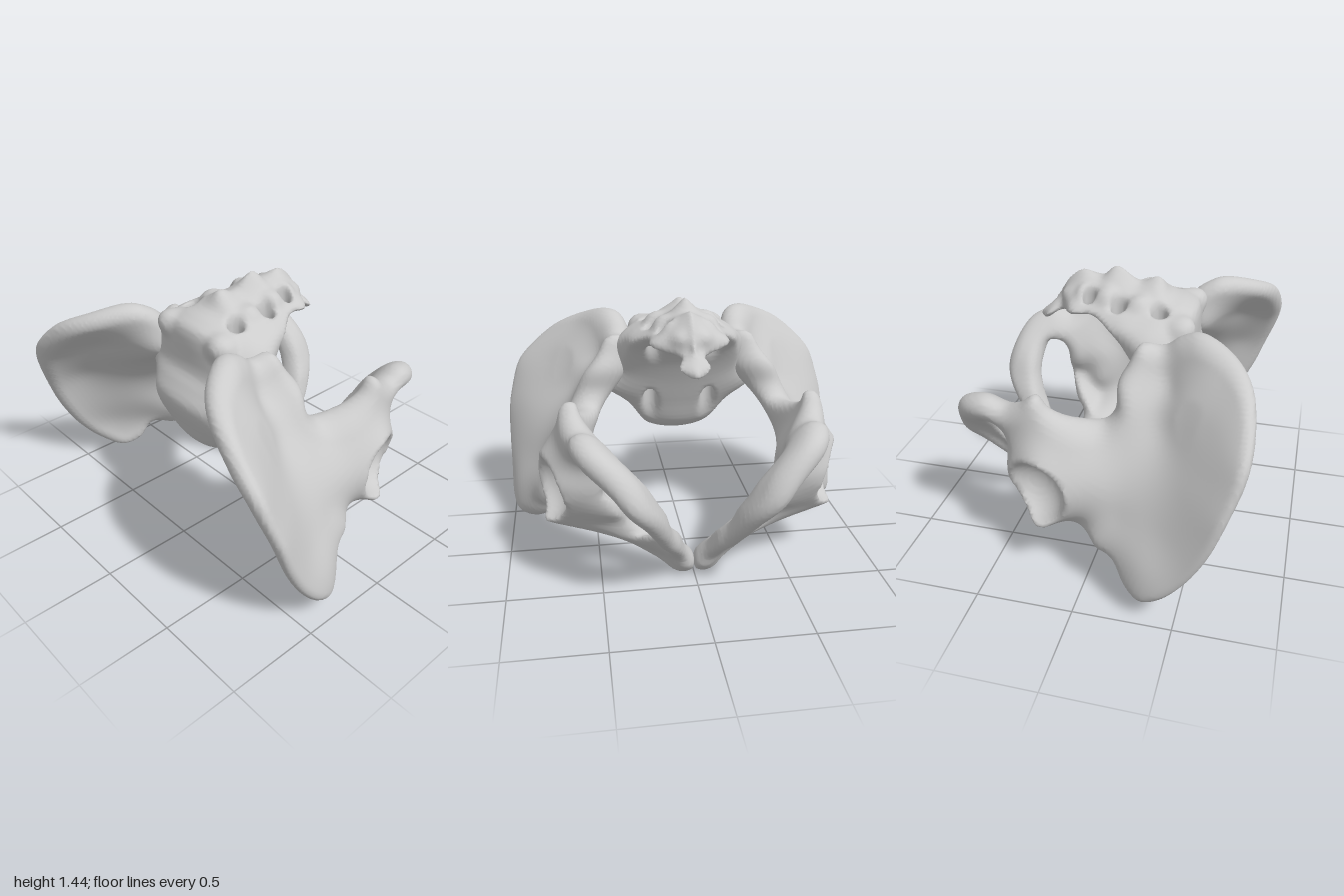
import * as THREE from 'three';

// Smooth interpolation of scattered rows [z, y, values...]
function scattered(rows) {
  const phi = (z, y, r) => Math.sqrt((z - r[0]) ** 2 + (y - r[1]) ** 2 + 0.006);
  const n = rows.length, m = rows[0].length - 2;
  const mean = Array.from({ length: m }, (_, k) => rows.reduce((s, r) => s + r[k + 2], 0) / n);
  const A = rows.map(r => [...rows.map(q => phi(r[0], r[1], q)), ...mean.map((a, k) => r[k + 2] - a)]);
  for (let c = 0; c < n; c++) {
    let p = c;
    for (let r = c + 1; r < n; r++) if (Math.abs(A[r][c]) > Math.abs(A[p][c])) p = r;
    [A[c], A[p]] = [A[p], A[c]];
    for (let r = 0; r < n; r++) {
      if (r === c) continue;
      const f = A[r][c] / A[c][c];
      for (let k = c; k < n + m; k++) A[r][k] -= f * A[c][k];
    }
  }
  return (z, y) => mean.map((a, k) =>
    rows.reduce((s, q, i) => s + phi(z, y, q) * A[i][n + k] / A[i][i], a));
}

// Signed distance to smooth closed loops in the (z, y) plane, negative inside
function outline(...loops) {
  const curves = loops.map(l => new THREE.CatmullRomCurve3(
    l.map(([z, y]) => new THREE.Vector3(z, y, 0)), true).getPoints(l.length * 5));
  return (z, y) => {
    let best = 9, inside = false;
    for (const c of curves) for (let i = 0; i < c.length - 1; i++) {
      const a = c[i], b = c[i + 1], dx = b.x - a.x, dy = b.y - a.y;
      const t = THREE.MathUtils.clamp(
        ((z - a.x) * dx + (y - a.y) * dy) / (dx * dx + dy * dy + 1e-12), 0, 1);
      best = Math.min(best, Math.hypot(z - a.x - t * dx, y - a.y - t * dy));
      if ((a.y > y) !== (b.y > y) && z < a.x + (y - a.y) / dy * dx) inside = !inside;
    }
    return inside ? -best : best;
  };
}

// Rounded sheet: d is distance to the rim, u is offset from the middle surface
const rounded = (d, w, u, t) =>
  (Math.hypot(Math.max(0, d + w) / w, u / t) - 1) * Math.min(t, w);

const smoothMin = (a, b, k) => {
  const h = Math.max(k - Math.abs(a - b), 0) / k;
  return Math.min(a, b) - h * h * k / 4;
};
const carve = (a, b, k) => -smoothMin(-a, b, k);

// Skin a solid with quads; column(y, z) returns a function of x, negative inside
function skin(min, max, h, column) {
  const n = min.map((a, i) => Math.ceil((max[i] - a) / h) + 1);
  const step = [1, n[0], n[0] * n[1]];
  const val = new Float32Array(n[0] * n[1] * n[2]);
  for (let k = 0; k < n[2]; k++) for (let j = 0; j < n[1]; j++) {
    const f = column(min[1] + j * h, min[2] + k * h);
    for (let i = 0; i < n[0]; i++) val[i + j * step[1] + k * step[2]] = f(min[0] + i * h);
  }
  const id = new Int32Array(val.length).fill(-1), pos = [], index = [];
  const corner = c => (c & 1) * step[0] + (c >> 1 & 1) * step[1] + (c >> 2) * step[2];
  for (let k = 0; k < n[2] - 1; k++) for (let j = 0; j < n[1] - 1; j++) for (let i = 0; i < n[0] - 1; i++) {
    const o = i + j * step[1] + k * step[2], s = [0, 0, 0];
    let count = 0;
    for (let a = 0; a < 8; a++) for (let d = 0; d < 3; d++) {
      if (a >> d & 1) continue;
      const va = val[o + corner(a)], vb = val[o + corner(a | 1 << d)];
      if ((va < 0) === (vb < 0)) continue;
      for (let e = 0; e < 3; e++) s[e] += (a >> e & 1) + (e === d ? va / (va - vb) : 0);
      count++;
    }
    if (!count) continue;
    id[o] = pos.length / 3;
    [i, j, k].forEach((g, e) => pos.push(min[e] + (g + s[e] / count) * h));
  }
  for (let k = 1; k < n[2] - 1; k++) for (let j = 1; j < n[1] - 1; j++) for (let i = 1; i < n[0] - 1; i++) {
    const o = i + j * step[1] + k * step[2];
    for (let d = 0; d < 3; d++) {
      const inside = val[o] < 0;
      if (inside === (val[o + step[d]] < 0)) continue;
      const u = step[(d + 1) % 3], v = step[(d + 2) % 3];
      const [a, b, c, e] = [id[o], id[o - u], id[o - u - v], id[o - v]];
      if (inside) index.push(a, b, c, a, c, e);
      else index.push(a, c, b, a, e, c);
    }
  }
  const g = new THREE.BufferGeometry();
  g.setAttribute('position', new THREE.Float32BufferAttribute(pos, 3));
  g.setIndex(index);
  g.computeVertexNormals();
  return g;
}

// Hip bone: side outline, opening, and rows of [z, y, middle x, half thickness]
function hipGeometry() {
  const edge = [[.8, 1], [.76, 1.15], [.65, 1.235], [.48, 1.28], [.38, 1.24], [.3, 1.18], [.19, 1.19],
    [.14, 1.1], [.1, 1.02], [.1, .9], [.05, .84], [-.1, .86], [-.2, .91], [-.27, .985], [-.36, .92],
    [-.45, .885], [-.56, .915], [-.7, .86], [-.775, .73], [-.795, .58], [-.7, .42], [-.55, .24],
    [-.44, .12], [-.41, .05], [-.34, -.005], [-.28, .04], [-.22, .12], [-.1, .22], [0, .26],
    [.06, .22], [.15, .22], [.22, .12], [.32, .07], [.42, .13], [.55, .28], [.65, .46], [.72, .65], [.79, .87]];
  const opening = [[-.5, .73], [-.57, .74], [-.595, .62], [-.56, .48], [-.48, .34], [-.4, .27],
    [-.34, .24], [-.335, .3], [-.4, .4], [-.45, .55], [-.465, .68]];
  const blade = [[.48, 1.25, .38, .08], [.65, 1.2, .5, .065], [.76, 1.08, .69, .06], [.78, .9, .87, .06],
    [.71, .65, .955, .05], [.62, .42, .965, .045], [.5, .25, .955, .045], [.33, .12, .9, .06],
    [.35, .28, .9, .05], [.3, 1.12, .34, .08], [.18, 1.12, .38, .07], [.14, .95, .46, .1],
    [.38, 1.02, .39, .09], [.55, 1, .61, .045], [.55, .7, .85, .03], [.42, .45, .865, .04],
    [.35, .85, .54, .05], [.27, .65, .68, .05], [.17, .24, .79, .06], [.06, .25, .7, .07], [.2, .45, .73, .07]];
  const body = [[.05, .8, .55, .08], [.08, .55, .67, .1], [.03, .35, .65, .1], [-.12, .75, .63, .1],
    [-.25, .94, .63, .05], [-.3, .78, .61, .1], [-.27, .5, .645, .18], [-.12, .45, .65, .16],
    [-.23, .67, .64, .16], [-.27, .33, .56, .14], [-.41, .65, .56, .1], [-.45, .52, .53, .08],
    [-.37, .4, .52, .1], [-.1, .26, .49, .08]];
  const rami = [[-.22, .16, .28, .07], [-.31, .2, .25, .07], [-.33, .04, .07, .07], [-.34, .15, .14, .06],
    [-.42, .14, .09, .05], [-.46, .32, .18, .045], [-.56, .27, .16, .045], [-.57, .48, .26, .05],
    [-.68, .42, .23, .05], [-.61, .62, .34, .06], [-.77, .58, .33, .06], [-.77, .7, .4, .07],
    [-.7, .82, .5, .08], [-.59, .86, .55, .085], [-.46, .82, .56, .085]];
  const dist = outline(edge, opening), sheet = scattered([...blade, ...body, ...rami]);
  return skin([-.05, -.05, -.86], [1.12, 1.35, .87], .0165, (y, z) => {
    const d = dist(z, y), [X, T] = sheet(z, y), e = .01;
    const slope = Math.hypot(sheet(z + e, y)[0] - X, sheet(z, y + e)[0] - X) / e;
    const t = Math.max(T, .026), w = THREE.MathUtils.clamp(t, .04, .09);
    const s = Math.hypot(1, Math.min(slope, 1.5));
    return x => {
      let f = rounded(d, w, (x - X) / s, t);
      // Hip socket and its notch
      f = carve(f, Math.hypot(x - .81, y - .5, z + .27) - .175, .03);
      f = carve(f, Math.hypot(x - .74, y - .44, z + .38) - .06, .03);
      return Math.max(f, .002 - x);
    };
  });
}

// Sacrum and tailbone: side outline and rows of [z, y, half width]
function sacrumGeometry() {
  const edge = [[.38, .575], [.45, .7], [.5, .86], [.46, .95], [.42, 1.02], [.41, 1.25], [.35, 1.29],
    [.27, 1.32], [.2, 1.4], [.1, 1.365], [-.02, 1.44], [-.1, 1.38], [-.2, 1.405], [-.27, 1.36],
    [-.33, 1.27], [-.37, 1.21], [-.445, 1.135], [-.41, 1.115], [-.33, 1.17], [-.22, 1.2], [-.1, 1.21],
    [0, 1.15], [.07, 1.07], [.14, .95], [.22, .78], [.3, .62]];
  const widths = [[.44, .7, .24], [.38, .62, .19], [.48, .85, .23], [.3, .72, .25], [.17, .95, .32],
    [.42, .97, .27], [.28, .9, .45], [.26, .81, .33], [.4, .85, .28], [.28, 1.05, .38], [.17, 1.15, .35],
    [.36, 1.15, .28], [.38, 1.24, .2], [.23, 1.25, .25], [.22, 1.31, .14], [.2, 1.38, .04],
    [.06, 1.15, .3], [.07, 1.24, .27], [.07, 1.31, .14], [-.03, 1.22, .26], [-.02, 1.33, .12],
    [-.02, 1.42, .03], [-.15, 1.25, .21], [-.19, 1.33, .1], [-.2, 1.39, .03], [-.25, 1.24, .16],
    [-.31, 1.22, .05], [-.36, 1.18, .09], [-.43, 1.13, .03]];
  const knobs = [[.2, 1.21, .37, .055], [.14, 1.29, .13, .04],
    [.12, 1.31, -.04, .035], [.1, 1.32, -.16, .03], [.06, 1.28, -.27, .03]];
  const holes = [[.165, .24, .038], [.16, .03, .036], [.12, -.135, .03]];
  const dist = outline(edge), width = scattered(widths);
  return skin([-.55, .52, -.49], [.55, 1.5, .55], .0145, (y, z) => {
    const d = dist(z, y), t = Math.max(width(z, y)[0], .02);
    return x => {
      let f = rounded(d, .05, x, t);
      const ax = Math.abs(x);
      for (const [kx, ky, kz, r] of knobs) f = smoothMin(f, Math.hypot(ax - kx, y - ky, z - kz) - r, .05);
      for (const [hx, hz, r] of holes) f = carve(f, Math.hypot(ax - hx, z - hz) - r, .03);
      return f;
    };
  });
}

export function createModel() {
  const group = new THREE.Group();
  group.name = 'pelvis';
  const material = new THREE.MeshStandardMaterial({ color: 0xcccccc });
  const add = (name, geometry) => {
    const mesh = new THREE.Mesh(geometry, material);
    mesh.name = name;
    group.add(mesh);
  };
  const left = hipGeometry();
  const right = left.clone().scale(-1, 1, 1);
  right.index.array.reverse();
  right.computeVertexNormals();
  add('leftHipBone', left);
  add('rightHipBone', right);
  add('sacrumAndTailbone', sacrumGeometry());
  return group;
}
